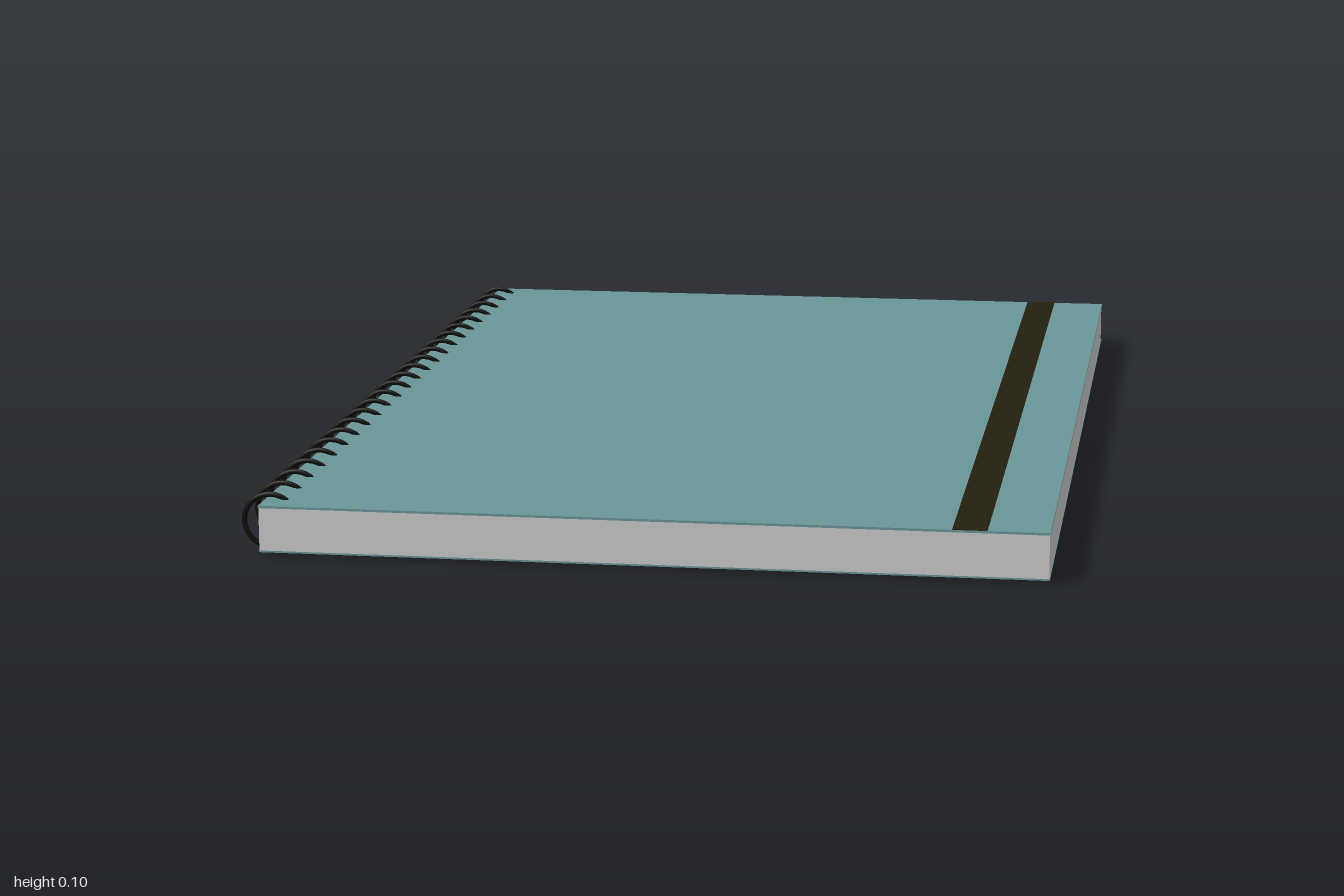
import * as THREE from 'three';

const material = (name, color) => {
  const m = new THREE.MeshStandardMaterial({ color });
  m.name = name;
  return m;
};

export function createModel() {
  const notebook = new THREE.Group();
  notebook.name = 'notebook';

  const teal = material('teal cover', 0x6a9598);
  const paper = material('paper grey', 0xcacaca);
  const band = material('dark brown band', 0x24200f);
  const wire = material('black wire', 0x0c0b08);

  // Box given by its x, y and z ranges
  const slab = (name, mat, [x0, x1], [y0, y1], [z0, z1]) => {
    const mesh = new THREE.Mesh(new THREE.BoxGeometry(x1 - x0, y1 - y0, z1 - z0), mat);
    mesh.position.set((x0 + x1) / 2, (y0 + y1) / 2, (z0 + z1) / 2);
    mesh.name = name;
    notebook.add(mesh);
  };

  // Page block, slightly inset at the back
  const width = [-0.633, 0.671];
  slab('pages', paper, [-0.632, 0.67], [0.011, 0.083], [-0.99, 1]);

  // Covers, each with a flat elastic band
  slab('frontCover', teal, width, [0.083, 0.087], [-1, 1]);
  slab('backCover', teal, width, [0.008, 0.011], [-1, 1]);
  slab('frontBand', band, [0.513, 0.57], [0.087, 0.088], [-1, 1]);
  slab('backBand', band, [-0.55, -0.493], [0.007, 0.008], [-1, 1]);

  // Wire binding rings along the spine
  const binding = new THREE.Group();
  binding.name = 'binding';
  const ringGeometry = new THREE.TorusGeometry(0.045, 0.0045, 8, 32);
  const count = 24;
  for (let i = 0; i < count; i++) {
    const ring = new THREE.Mesh(ringGeometry, wire);
    ring.name = 'ring';
    ring.position.set(-0.625, 0.05, -0.95 + (1.9 * i) / (count - 1));
    binding.add(ring);
  }
  notebook.add(binding);

  return notebook;
}
